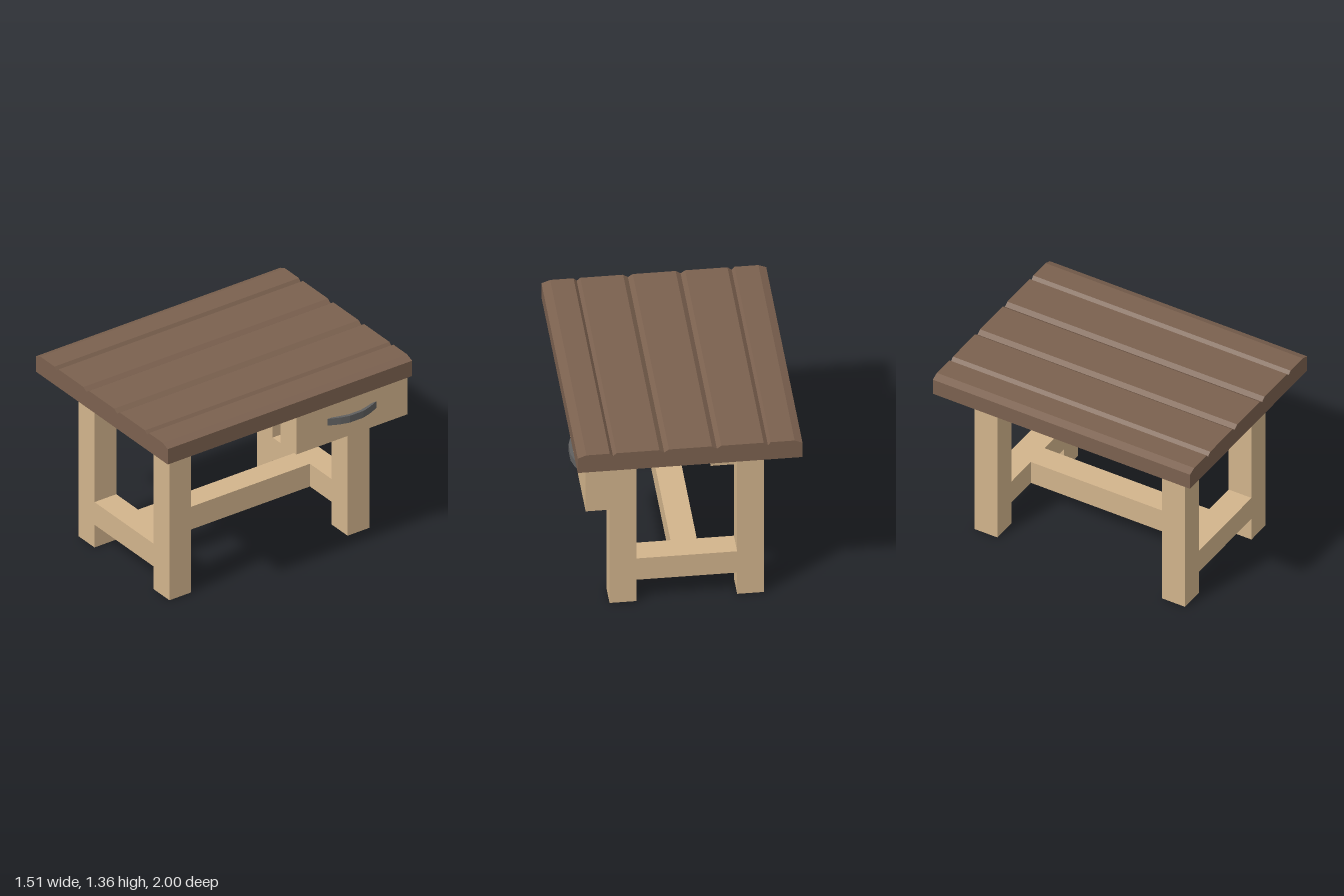
import * as THREE from 'three';

const material = (color) => new THREE.MeshStandardMaterial({ color, flatShading: true });

// Extrudes an outline and names the resulting mesh
function extrude(name, points, depth, mat) {
  const shape = new THREE.Shape(points.map(([x, y]) => new THREE.Vector2(x, y)));
  const mesh = new THREE.Mesh(new THREE.ExtrudeGeometry(shape, { depth, bevelEnabled: false }), mat);
  mesh.name = name;
  return mesh;
}

// Box given by its extents along each axis
function box(name, [x0, x1], [y0, y1], [z0, z1], mat) {
  const mesh = new THREE.Mesh(new THREE.BoxGeometry(x1 - x0, y1 - y0, z1 - z0), mat);
  mesh.position.set((x0 + x1) / 2, (y0 + y1) / 2, (z0 + z1) / 2);
  mesh.name = name;
  return mesh;
}

export function createModel() {
  const group = new THREE.Group();
  const lightWood = material(0xd2b48c);
  const darkWood = material(0x7b614f);
  const metal = material(0x606060);

  // Plank top: one profile with bevelled ends and V grooves
  const top = 1.36, groove = 1.338;
  const profile = [[-0.753, 1.22], [0.753, 1.22], [0.753, groove], [0.695, top]];
  for (const [right, mid, left] of [
    [0.538, 0.517, 0.493], [0.206, 0.174, 0.142],
    [-0.146, -0.179, -0.209], [-0.493, -0.521, -0.54],
  ]) profile.push([right, top], [mid, groove], [left, top]);
  profile.push([-0.7, top], [-0.753, groove]);
  const tableTop = extrude('tableTop', profile, 2, darkWood);
  tableTop.position.z = -1;
  group.add(tableTop);

  // End frames: two legs and a cross rail in one H outline
  const outer = 0.518, inner = 0.337, low = 0.175, high = 0.35, legTop = 1.22;
  const half = [[inner, low], [inner, 0], [outer, 0], [outer, legTop], [inner, legTop], [inner, high]];
  const frame = [...half, ...half.map(([x, y]) => [-x, y]).reverse()];
  for (const [name, z] of [['frontLegFrame', 0.64], ['backLegFrame', -0.818]]) {
    const legs = extrude(name, frame, 0.178, lightWood);
    legs.position.z = z;
    group.add(legs);
  }

  // Long stretcher between the end frames
  group.add(box('stretcher', [-0.088, 0.088], [low, high], [-0.64, 0.64], lightWood));

  // Drawer hung on the outside of the legs
  group.add(box('drawer', [outer, 0.7], [0.9, legTop], [-1, -0.09], lightWood));

  // Arched drawer pull: a bent band, outlined in plan and extruded upwards
  const arch = [[0, 0.2], [0.035, 0.12], [0.053, 0.055], [0.053, -0.055], [0.035, -0.12], [0, -0.2]];
  const inside = [[0, -0.165], [0.015, -0.115], [0.031, -0.05], [0.031, 0.05], [0.015, 0.115], [0, 0.165]];
  const handle = extrude('drawerHandle', [...arch, ...inside], 0.052, metal);
  handle.rotation.x = -Math.PI / 2;
  handle.position.set(0.7, 1.035, -0.545);
  group.add(handle);

  return group;
}
